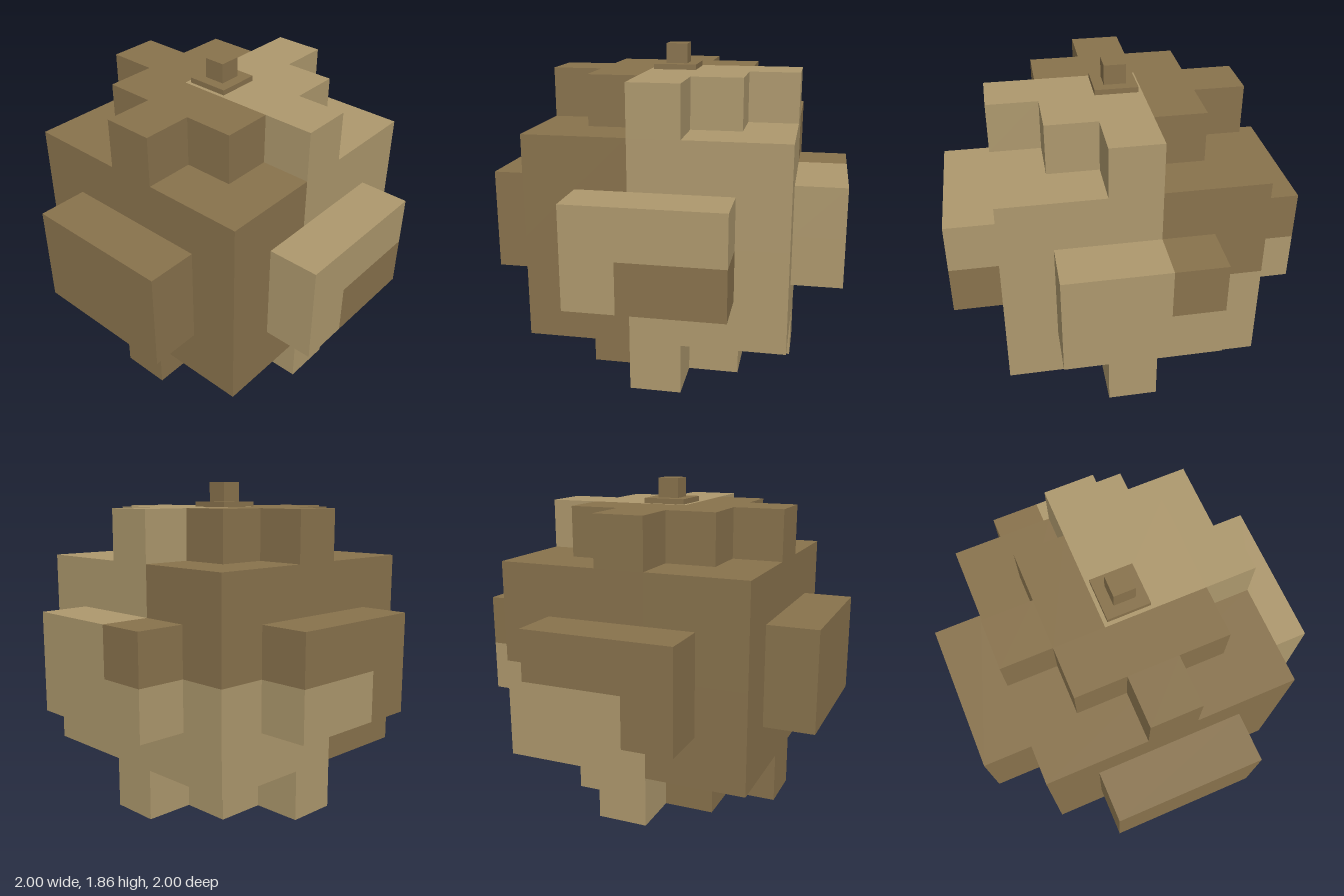
import * as THREE from 'three';

const U = 1 / 7; // half a block

export function createModel() {
  const model = new THREE.Group();
  const dark = new THREE.MeshStandardMaterial({ name: 'darkBrown', color: 0x88724c });
  const light = new THREE.MeshStandardMaterial({ name: 'lightTan', color: 0xad986d });

  // Adds a box between two levels, with x and z extents in half blocks
  function block(parent, name, material, [y0, y1], x0, x1, z0, z1) {
    const geometry = new THREE.BoxGeometry((x1 - x0) * U, (y1 - y0) * U, (z1 - z0) * U);
    const mesh = new THREE.Mesh(geometry, material);
    mesh.name = name;
    mesh.position.set((x0 + x1) / 2 * U, (y0 + y1) / 2 * U, (z0 + z1) / 2 * U);
    parent.add(mesh);
  }

  function part(name, pieces) {
    const group = new THREE.Group();
    group.name = name;
    pieces.forEach(([material, levels, ...extents], i) =>
      block(group, `${name}Block${i + 1}`, material, levels, ...extents));
    model.add(group);
  }

  const bottom = [0, 2], lower = [2, 6], upper = [6, 10], top = [10, 12];
  const slabLow = [4, 6], slabHigh = [6, 8];

  // Central cube, patched in two tones
  part('body', [
    [light, lower, -5, 5, -5, 1],
    [dark, lower, -5, 5, 1, 5],
    [light, upper, -1, 5, -5, 1],
    [dark, upper, -5, -1, -5, 1],
    [dark, upper, -5, 5, 1, 5],
  ]);

  // Stepped crosses above and below the cube
  part('topCross', [
    [light, top, -1, 3, -3, 1],
    [light, top, 3, 5, -1, 1],
    [light, top, -1, 1, -5, -3],
    [dark, top, -3, -1, -3, 1],
    [dark, top, -3, 3, 1, 3],
    [dark, top, -5, -3, -1, 1],
    [dark, top, -1, 1, 3, 5],
  ]);
  part('bottomCross', [
    [light, bottom, -3, 3, -3, 1],
    [light, bottom, 3, 5, -1, 1],
    [light, bottom, -5, -3, -1, 1],
    [light, bottom, -1, 1, -5, -3],
    [dark, bottom, -3, 3, 1, 3],
    [dark, bottom, -1, 1, 3, 5],
  ]);

  // Raised slabs on the four sides
  part('frontSlab', [[dark, [4, 8], -3, 3, 5, 7]]);
  part('backSlab', [
    [light, slabLow, -3, 3, -7, -5],
    [light, slabHigh, -1, 3, -7, -5],
    [dark, slabHigh, -3, -1, -7, -5],
  ]);
  part('leftSlab', [
    [light, slabHigh, 5, 7, -3, 3],
    [light, slabLow, 5, 7, 1, 3],
    [dark, slabLow, 5, 7, -3, 1],
  ]);
  part('rightSlab', [
    [dark, slabHigh, -7, -5, -3, 3],
    [dark, slabLow, -7, -5, 1, 3],
    [light, slabLow, -7, -5, -3, 1],
  ]);

  // Small stem on a flat base
  block(model, 'stemBase', dark, [12, 12.21], -0.85, 0.85, -0.85, 0.85);
  block(model, 'stem', dark, [12.21, 13], -0.43, 0.43, -0.43, 0.43);

  return model;
}
